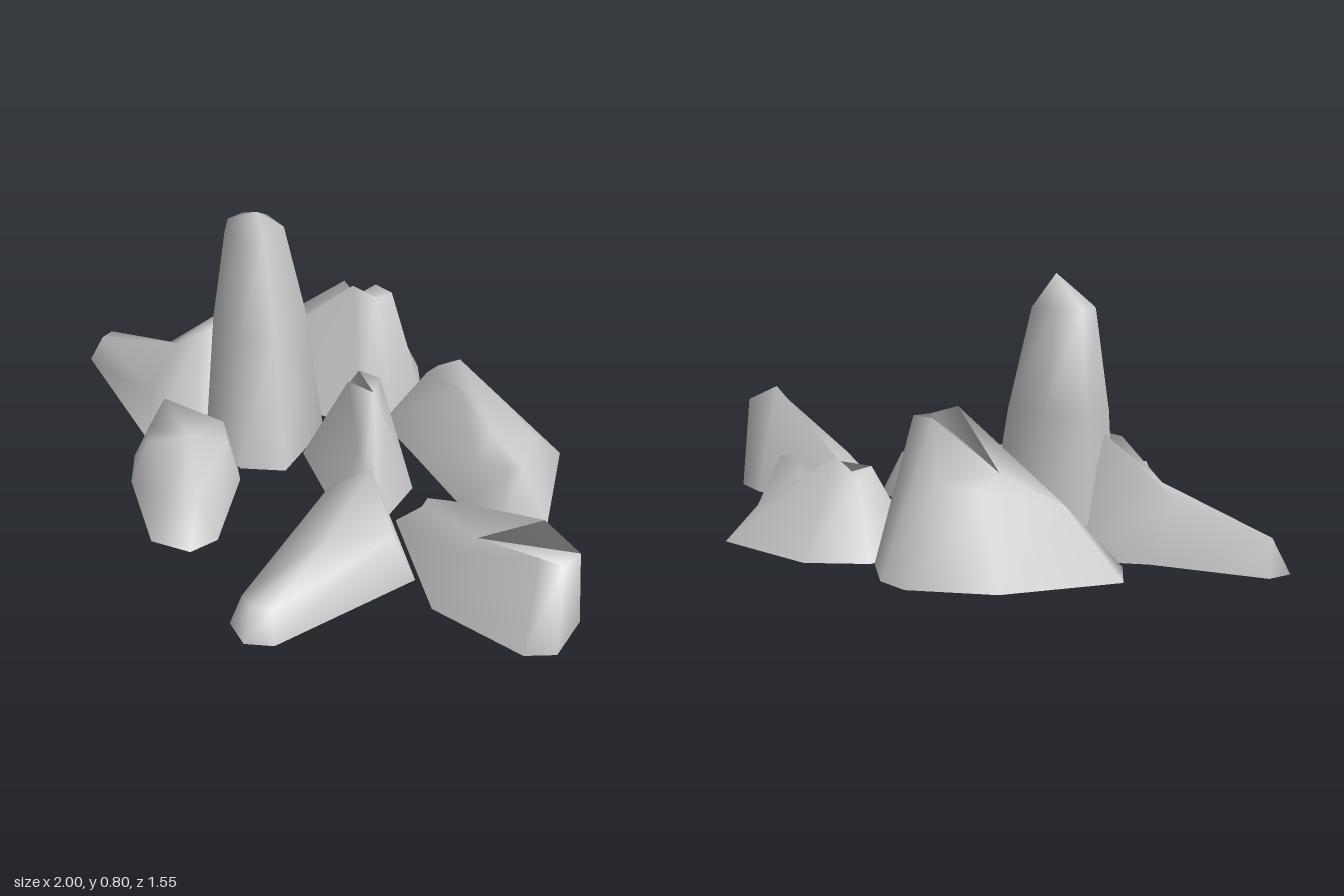
import * as THREE from 'three';

const stone = new THREE.MeshStandardMaterial({ color: 0xcacaca, side: THREE.DoubleSide });
stone.name = 'stone grey';

const point = (x, y, z) => new THREE.Vector3(x, y, z);

// Ground outline from pairs of x, z, clockwise seen from above
function outline(...xz) {
  const ring = [];
  for (let i = 0; i < xz.length; i += 2) ring.push(point(xz[i], 0, xz[i + 1]));
  return ring;
}

// Copy of an outline raised to height y and drawn in towards (cx, cz)
const taper = (ring, scale, y, cx, cz) =>
  ring.map((p) => point(cx + (p.x - cx) * scale, y, cz + (p.z - cz) * scale));

// Smooth shell, open below: equal rings joined by walls, the last closed onto an apex
function shell(name, apex, ...rings) {
  const n = rings[0].length;
  const index = [];
  for (let r = 0; r < rings.length; r++) {
    for (let i = 0; i < n; i++) {
      const a = r * n + i;
      const b = r * n + (i + 1) % n;
      if (r < rings.length - 1) index.push(a, a + n, b, b, a + n, b + n);
      else index.push(a, rings.length * n, b);
    }
  }
  const geometry = new THREE.BufferGeometry().setFromPoints([...rings.flat(), apex]);
  geometry.setIndex(index);
  geometry.computeVertexNormals();
  const mesh = new THREE.Mesh(geometry, stone);
  mesh.name = name;
  return mesh;
}

function tallRock() {
  const base = outline(-.43, -.27, -.28, -.325, -.1, -.24, -.09, .02, -.22, .08, -.4, 0, -.47, -.15);
  return shell('tallRock', point(-.28, .8, -.145), base,
    taper(base, .76, .42, -.44, -.34),
    taper(base, .48, .71, -.38, -.25));
}

function leftEndRock() {
  const base = outline(-1, -.2, -.96, -.27, -.61, -.255, -.4, -.3, -.3, -.1, -.42, .02, -.545, .11);
  return shell('leftEndRock', point(-.6, .22, -.15), base, [
    point(-.95, .1, -.21), point(-.94, .105, -.25), point(-.66, .18, -.2), point(-.46, .355, -.22),
    point(-.42, .35, -.14), point(-.47, .33, -.1), point(-.58, .14, .04),
  ]);
}

function frontLeftRock() {
  const base = outline(-.48, .05, -.27, .03, -.19, .13, -.09, .42, -.13, .51, -.26, .525, -.48, .31, -.55, .19);
  return shell('frontLeftRock', point(-.33, .165, .2), base, [
    point(-.465, .215, .13), point(-.28, .16, .08), point(-.23, .14, .14), point(-.17, .11, .4),
    point(-.19, .1, .44), point(-.26, .105, .45), point(-.43, .15, .28), point(-.5, .12, .17),
  ]);
}

function frontRock() {
  const base = outline(.11, .19, .3, .12, .51, .29, .3, .74, .22, .775, .14, .72);
  return shell('frontRock', point(.28, .14, .4), base, [
    point(.18, .17, .22), point(.28, .22, .14), point(.44, .14, .3),
    point(.28, .105, .72), point(.22, .108, .735), point(.17, .1, .7),
  ]);
}

function rightEndRock() {
  const base = outline(.33, .07, .37, 0, .46, -.015, .89, .14, 1, .22, 1, .38, .92, .43, .61, .38);
  return shell('rightEndRock', point(.655, .145, .19), base, [
    point(.42, .09, .07), point(.42, .1, .04), point(.5, .12, .04), point(.88, .34, .25),
    point(1, .285, .27), point(.98, .28, .34), point(.91, .29, .35), point(.63, .135, .27),
  ]);
}

function backRightRock() {
  const base = outline(.11, -.565, .29, -.63, .625, -.5, .74, -.14, .62, -.065, .49, -.08, .235, -.25, .05, -.37);
  return shell('backRightRock', point(.47, .145, -.3), base, [
    point(.2, .22, -.46), point(.28, .275, -.45), point(.56, .1, -.42), point(.65, .19, -.13),
    point(.62, .19, -.1), point(.5, .14, -.14), point(.33, .24, -.35), point(.2, .24, -.38),
  ]);
}

function centreRock() {
  const base = outline(-.1, -.25, .03, -.35, .11, -.33, .3, -.1, .3, .12, .22, .165, .16, .13, -.09, -.09);
  return shell('centreRock', point(.16, .32, -.09), base, [
    point(-.02, .19, -.25), point(.05, .3, -.2), point(.12, .29, -.21), point(.2, .2, -.1),
    point(.25, .15, .05), point(.22, .14, .07), point(.17, .18, .02), point(.05, .3, -.13),
  ]);
}

function backRock() {
  const base = outline(-.61, -.47, -.35, -.72, -.1, -.775, 0, -.72, .1, -.56, .06, -.42, 0, -.3, -.55, -.31);
  return shell('backRock', point(-.24, .27, -.46), base, [
    point(-.43, .19, -.45), point(-.28, .27, -.7), point(-.1, .25, -.58), point(-.06, .42, -.51),
    point(.01, .42, -.49), point(-.02, .42, -.44), point(-.1, .445, -.43), point(-.4, .18, -.38),
  ]);
}

export function createModel() {
  const group = new THREE.Group();
  group.name = 'rockCluster';
  group.add(
    tallRock(), leftEndRock(), frontLeftRock(), frontRock(),
    rightEndRock(), backRightRock(), centreRock(), backRock(),
  );
  return group;
}
